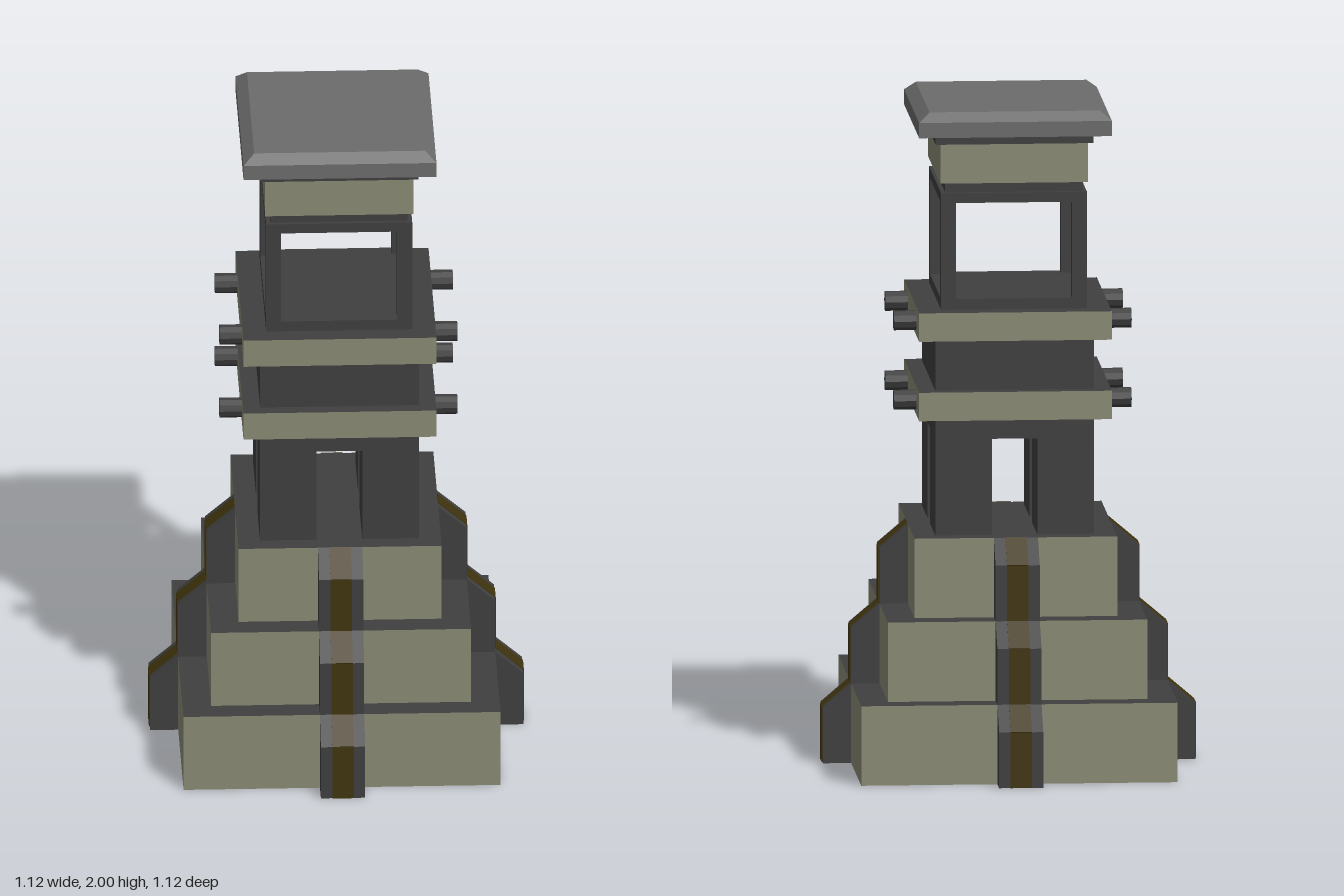
import * as THREE from 'three';

const mat = (name, color) => {
  const m = new THREE.MeshStandardMaterial({ color });
  m.name = name;
  return m;
};

export function createModel() {
  const stone = mat('khaki stone', 0x8a8a75);
  const dark = mat('dark grey', 0x3f3f3f);
  const slate = mat('roof grey', 0x6c6c6c);
  const rust = mat('brown stripe', 0x40340e);
  const capped = [stone, stone, dark, stone, stone, stone]; // dark top face

  const model = new THREE.Group();
  model.name = 'watchtower';

  const add = (name, geometry, material, parent = model) => {
    const mesh = new THREE.Mesh(geometry, material);
    mesh.name = name;
    parent.add(mesh);
    return mesh;
  };

  // Box given by half width, half depth, bottom and top, centred at x, z
  const block = (name, hx, hz, y0, y1, material, x = 0, z = 0) => {
    const mesh = add(name, new THREE.BoxGeometry(hx * 2, y1 - y0, hz * 2), material);
    mesh.position.set(x, (y0 + y1) / 2, z);
    return mesh;
  };

  // Stepped base
  const tierX = [0.473, 0.388, 0.303];
  const tierZ = [0.482, 0.407, 0.332];
  for (let i = 0; i < 3; i++) {
    block('baseTier', tierX[i], tierZ[i], i * 0.24, (i + 1) * 0.24, capped);
  }

  // Buttress climbing the steps, with a thin stripe along its outer faces
  const buttress = (tiers, halfWidth, angle) => {
    const group = new THREE.Group();
    group.name = 'buttress';
    group.rotation.y = angle;
    model.add(group);

    const reach = [0.557, tiers[0], tiers[1], tiers[2]];
    const path = [[reach[0], 0]];
    for (let i = 0; i < 3; i++) {
      path.push([reach[i], i * 0.24 + 0.168], [reach[i + 1], (i + 1) * 0.24]);
    }
    const pts = path.map(([d, y]) => new THREE.Vector2(d, y));
    const shape = new THREE.Shape([...pts, new THREE.Vector2(0.25, 0.72), new THREE.Vector2(0.25, 0)]);
    const body = new THREE.ExtrudeGeometry(shape, { depth: halfWidth * 2, bevelEnabled: false });
    body.translate(0, 0, -halfWidth);
    add('buttressBody', body, dark, group);

    for (let i = 0; i < pts.length - 1; i++) {
      const a = pts[i], b = pts[i + 1];
      const strip = add('buttressStripe', new THREE.BoxGeometry(a.distanceTo(b), 0.005, 0.064), rust, group);
      strip.position.set((a.x + b.x) / 2, (a.y + b.y) / 2, 0);
      strip.rotation.z = Math.atan2(b.y - a.y, b.x - a.x);
    }
  };
  buttress(tierX, 0.058, 0);
  buttress(tierX, 0.058, Math.PI);
  buttress(tierZ, 0.066, Math.PI / 2);
  buttress(tierZ, 0.066, -Math.PI / 2);

  // Four corner piers leave crossing doorways under the solid shaft
  for (const sx of [-1, 1]) {
    for (const sz of [-1, 1]) {
      block('shaftPier', 0.0845, 0.107, 0.72, 1.01, dark, sx * 0.1525, sz * 0.168);
    }
  }
  block('shaft', 0.237, 0.275, 1.01, 1.395, dark);

  // Projecting bands, each with two pairs of beam ends
  for (const y of [1.072, 1.312]) {
    block('band', 0.288, 0.316, y, y + 0.086, capped);
    for (const sx of [-1, 1]) {
      for (const sz of [-1, 1]) {
        const geo = new THREE.CylinderGeometry(0.03, 0.03, 0.085, 10).toNonIndexed();
        geo.computeVertexNormals();
        const peg = add('beamEnd', geo, dark);
        peg.rotation.z = Math.PI / 2;
        peg.position.set(sx * 0.3125, y + 0.044, sz * 0.181);
      }
    }
  }

  // Open lookout room
  block('lookoutFloor', 0.218, 0.254, 1.395, 1.43, dark);
  for (const sx of [-1, 1]) {
    for (const sz of [-1, 1]) {
      block('lookoutPost', 0.0225, 0.021, 1.43, 1.72, dark, sx * 0.1955, sz * 0.233);
    }
  }
  block('lookoutCeiling', 0.218, 0.254, 1.72, 1.75, dark);

  // Head of the tower
  block('lowerNeck', 0.205, 0.24, 1.75, 1.78, dark);
  block('headBlock', 0.221, 0.26, 1.78, 1.9, stone);
  block('upperNeck', 0.236, 0.275, 1.9, 1.93, dark);

  // Roof slab with a bevelled top
  block('roofSlab', 0.288, 0.316, 1.927, 1.973, slate);
  const bevel = new THREE.BoxGeometry(2, 0.027, 2).toNonIndexed();
  const p = bevel.attributes.position;
  for (let i = 0; i < p.count; i++) {
    const top = p.getY(i) > 0;
    p.setX(i, p.getX(i) * (top ? 0.255 : 0.288));
    p.setZ(i, p.getZ(i) * (top ? 0.286 : 0.316));
  }
  bevel.computeVertexNormals();
  add('roofBevel', bevel, slate).position.y = 1.9865;

  return model;
}
